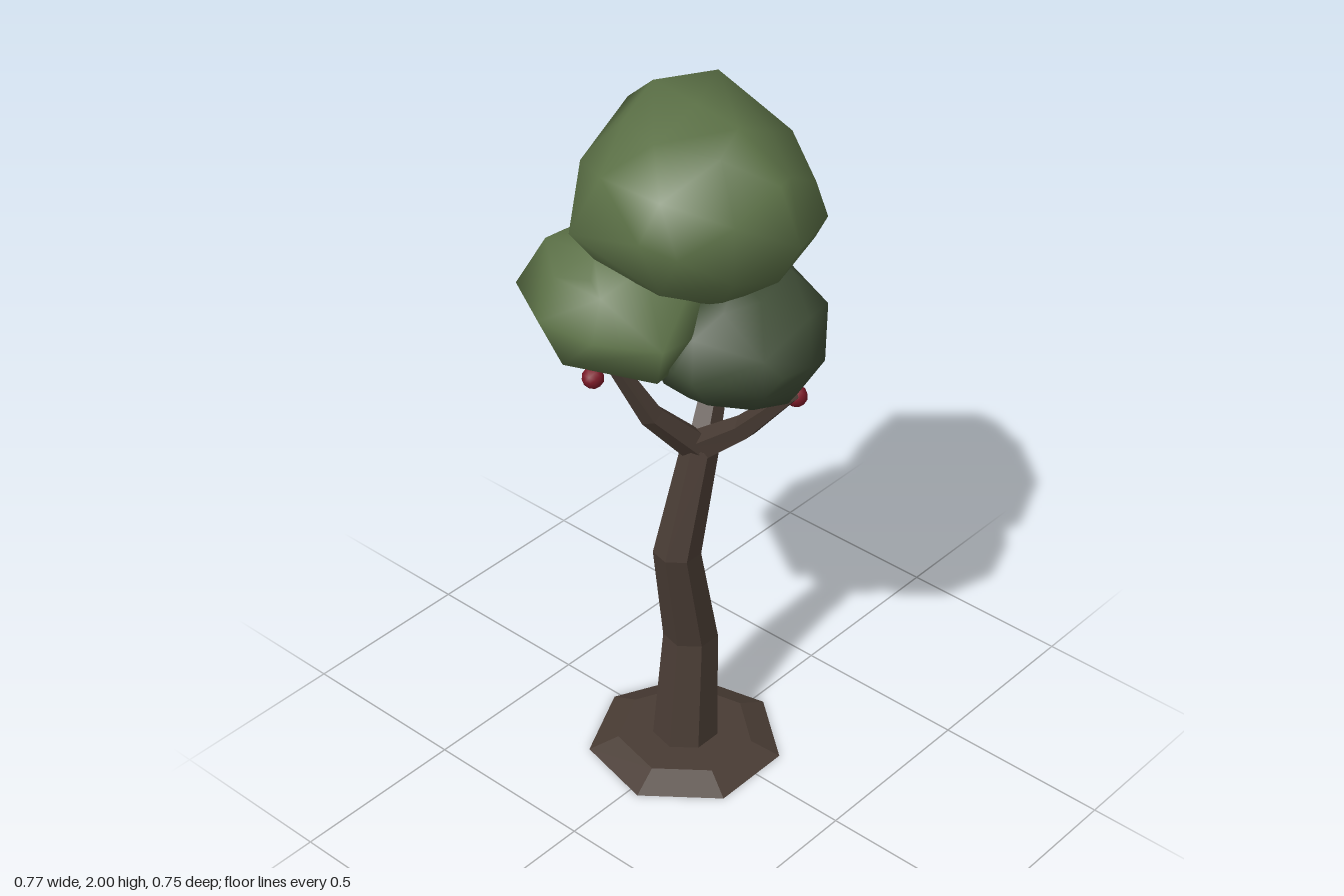
import * as THREE from 'three';
import { mergeVertices } from 'three/addons/utils/BufferGeometryUtils.js';
import { ConvexGeometry } from 'three/addons/geometries/ConvexGeometry.js';

const UP = new THREE.Vector3(0, 1, 0);

function material(name, color) {
  const m = new THREE.MeshStandardMaterial({ color });
  m.name = name;
  return m;
}

// Faceted limb lofted through points [x, y, z, radius], closed at both ends
function limb(points, sides, level) {
  const pos = [], index = [];
  const centres = points.map(p => new THREE.Vector3(p[0], p[1], p[2]));
  centres.forEach((c, i) => {
    const before = centres[Math.max(i - 1, 0)];
    const after = centres[Math.min(i + 1, centres.length - 1)];
    const dir = level ? UP : after.clone().sub(before).normalize();
    const q = new THREE.Quaternion().setFromUnitVectors(UP, dir);
    for (let k = 0; k < sides; k++) {
      const a = Math.PI / 2 + k / sides * Math.PI * 2;
      const v = new THREE.Vector3(Math.cos(a), 0, -Math.sin(a))
        .multiplyScalar(points[i][3]).applyQuaternion(q).add(c);
      pos.push(v.x, v.y, v.z);
    }
  });
  const last = (points.length - 1) * sides;
  for (let k = 0; k < sides; k++) {
    const n = (k + 1) % sides;
    for (let r = 0; r < last; r += sides) {
      index.push(r + k, r + n, r + sides + n, r + k, r + sides + n, r + sides + k);
    }
    if (k > 0 && k < sides - 1) {
      index.push(0, k + 1, k, last, last + k, last + k + 1);
    }
  }
  const g = new THREE.BufferGeometry();
  g.setAttribute('position', new THREE.Float32BufferAttribute(pos, 3));
  g.setIndex(index);
  const flat = g.toNonIndexed();
  flat.computeVertexNormals();
  return flat;
}

// Smooth leaf clump: the hull of a coarse ellipsoid and a few corners that stick out of it
function clump(centre, radii, corners) {
  let ball = new THREE.IcosahedronGeometry(1, 1);
  ball.deleteAttribute('normal');
  ball.deleteAttribute('uv');
  ball = mergeVertices(ball, 1e-3).scale(...radii).translate(...centre);
  const points = corners.map(c => new THREE.Vector3(...c));
  const p = ball.attributes.position;
  for (let i = 0; i < p.count; i++) {
    points.push(new THREE.Vector3().fromBufferAttribute(p, i));
  }
  let g = new ConvexGeometry(points);
  g.deleteAttribute('normal');
  g = mergeVertices(g, 1e-4);
  g.computeVertexNormals();
  return g;
}

export function createModel() {
  const tree = new THREE.Group();
  tree.name = 'tree';
  const bark = material('bark', 0x493c34);
  const lightLeaf = material('lightLeaf', 0x5b7046);
  const darkLeaf = material('darkLeaf', 0x414f38);
  const fruitRed = material('fruitRed', 0x7c1a28);

  const add = (name, geometry, mat) => {
    const mesh = new THREE.Mesh(geometry, mat);
    mesh.name = name;
    tree.add(mesh);
    return mesh;
  };

  // Low mound and crooked trunk
  add('mound', limb([[-0.017, 0, -0.03, 0.272], [-0.017, 0.035, -0.03, 0.19]], 7, true), bark);
  add('trunk', limb([
    [-0.015, 0.02, -0.032, 0.093],
    [0.018, 0.36, -0.04, 0.077],
    [-0.047, 0.68, -0.03, 0.066],
    [0.02, 1.0, -0.007, 0.052],
  ], 7, true), bark);

  // Three bent branches
  add('frontBranch', limb([[0.02, 0.99, -0.01, 0.045], [0.025, 1.115, 0.14, 0.034], [0.015, 1.29, 0.3, 0.02]], 5), bark);
  add('leftBranch', limb([[0.03, 0.99, -0.01, 0.045], [0.18, 1.125, -0.09, 0.034], [0.33, 1.33, -0.17, 0.02]], 5), bark);
  add('rightBranch', limb([[0.015, 0.99, -0.01, 0.045], [-0.11, 1.13, -0.06, 0.034], [-0.22, 1.36, -0.12, 0.02]], 5), bark);

  // Leaf clumps
  add('topLeaves', clump([0, 1.74, 0], [0.3, 0.25, 0.31], [
    [-0.32, 1.73, -0.13], [-0.3, 1.77, 0.08], [0.317, 1.73, -0.12], [0.3, 1.86, -0.05],
    [0, 1.73, 0.33], [0.04, 1.88, 0.26], [0.13, 1.72, -0.328], [0.1, 1.87, -0.322],
    [0, 2, 0], [0.19, 1.985, -0.1], [0.05, 1.98, -0.19], [0, 1.98, 0.13],
    [0.3, 1.57, -0.1], [0.05, 1.56, -0.29], [0.2, 1.7, 0.25], [0.1, 1.52, 0.17],
  ]), lightLeaf);
  add('rightLeaves', clump([-0.14, 1.49, -0.11], [0.22, 0.19, 0.25], [
    [-0.385, 1.49, -0.18], [-0.385, 1.4, -0.1], [-0.375, 1.49, -0.01], [-0.3, 1.5, 0.155],
    [-0.2, 1.5, 0.165], [-0.3, 1.5, -0.34], [-0.12, 1.5, -0.375], [0.05, 1.5, -0.33],
    [-0.25, 1.63, -0.28], [-0.3, 1.61, -0.08], [-0.1, 1.38, -0.33],
    [0.05, 1.4, -0.3], [0.05, 1.56, -0.27], [-0.25, 1.36, 0.09],
  ]), lightLeaf);
  add('frontLeaves', clump([0, 1.403, 0.13], [0.235, 0.172, 0.235], [
    [-0.245, 1.4, 0.2], [0.205, 1.45, 0.255], [0.24, 1.5, 0.08], [0, 1.41, 0.373],
    [-0.075, 1.4, 0.345], [0.13, 1.38, 0.31], [0.02, 1.53, 0.345], [0, 1.27, 0.3],
    [0.02, 1.22, 0.13], [-0.05, 1.57, 0.25], [-0.21, 1.5, 0.17], [-0.13, 1.555, 0.2],
    [0.13, 1.555, 0.2], [-0.2, 1.32, 0.15], [0.2, 1.32, 0.14], [0.12, 1.26, 0.2],
  ]), darkLeaf);
  add('leftLeaves', clump([0.16, 1.39, -0.1], [0.21, 0.17, 0.215], [
    [0.383, 1.41, -0.17], [0.37, 1.5, -0.01], [0.36, 1.5, -0.17], [0.22, 1.41, 0.12],
    [0.265, 1.45, -0.28], [0.15, 1.41, -0.328], [0.28, 1.55, -0.2], [0.25, 1.56, 0.03],
    [0.24, 1.22, -0.1], [0.13, 1.21, -0.08], [0.32, 1.3, -0.08], [0.05, 1.41, -0.29],
    [0.18, 1.5, -0.31], [0.14, 1.3, -0.29], [0.2, 1.3, 0.07], [0.2, 1.52, 0.09],
  ]), darkLeaf);

  // Hanging fruit
  for (const at of [[0.07, 1.245, 0.27], [0.217, 1.243, -0.214], [-0.29, 1.32, -0.09]]) {
    add('fruit', new THREE.IcosahedronGeometry(0.029, 1), fruitRed).position.set(...at);
  }
  return tree;
}
